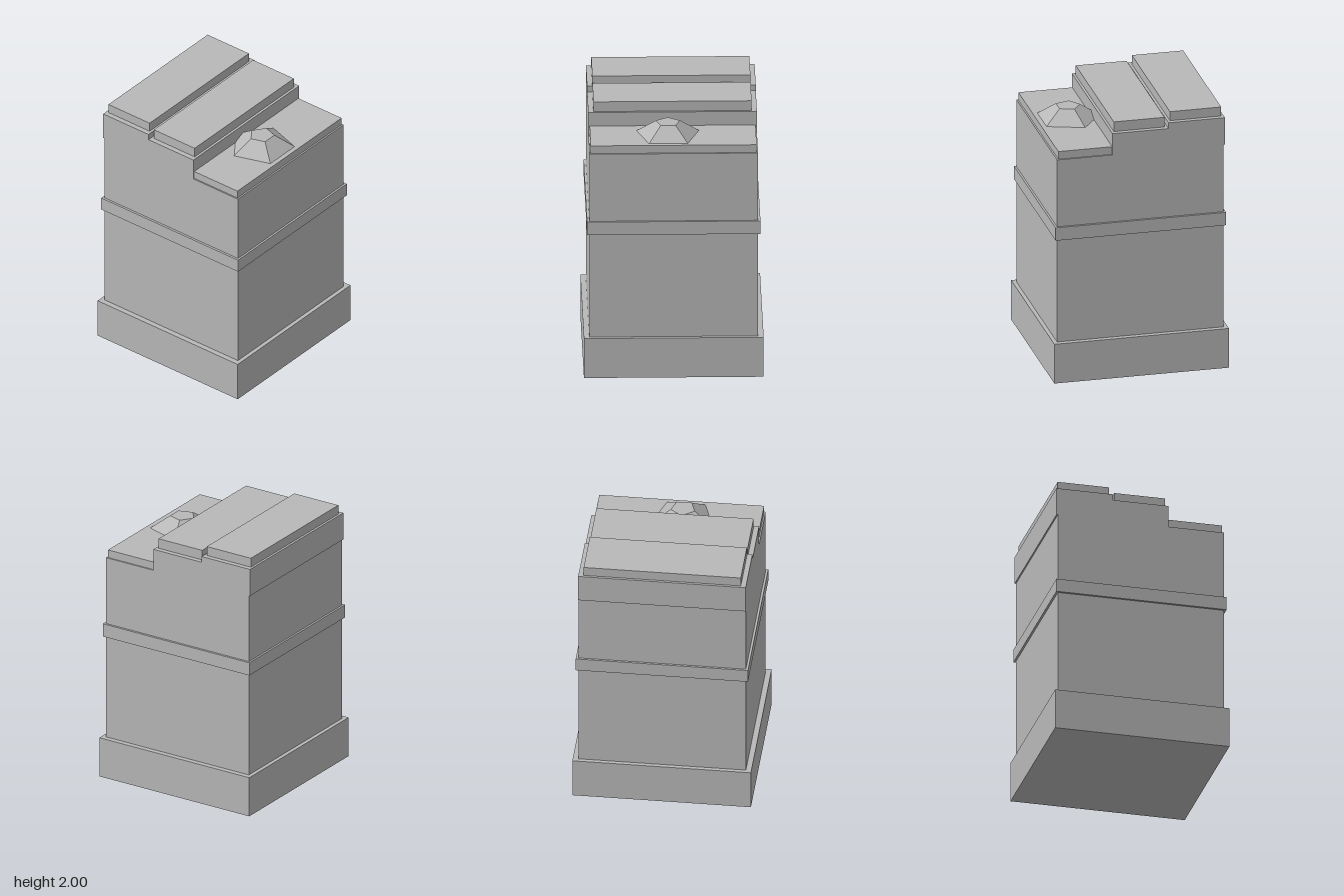
import * as THREE from 'three';

export function createModel() {
  const group = new THREE.Group();
  const stone = new THREE.MeshStandardMaterial({ color: 0xb8b8b8 });
  stone.name = 'light grey';
  stone.flatShading = true;

  // Box given by its extents in x and y, and its half depth
  const block = (name, x0, x1, y0, y1, halfZ) => {
    const mesh = new THREE.Mesh(new THREE.BoxGeometry(x1 - x0, y1 - y0, halfZ * 2), stone);
    mesh.position.set((x0 + x1) / 2, (y0 + y1) / 2, 0);
    mesh.name = name;
    group.add(mesh);
  };

  // Tower
  block('basePlinth', -0.65, 0.65, 0, 0.305, 0.65);
  block('mainBody', -0.62, 0.62, 0.305, 1.72, 0.61);
  block('middleBand', -0.635, 0.635, 1.1, 1.2, 0.627);

  // Stepped roof with raised slabs
  block('tallRoofStep', -0.63, -0.21, 1.72, 1.93, 0.61);
  block('middleRoofStep', -0.21, 0.207, 1.72, 1.885, 0.61);
  block('tallRoofSlab', -0.612, -0.23, 1.93, 2, 0.572);
  block('middleRoofSlab', -0.19, 0.188, 1.885, 1.96, 0.572);
  block('lowRoofSlab', 0.207, 0.608, 1.72, 1.78, 0.6);

  // Five-sided skylight, its corner set into the middle step
  const skylight = new THREE.Mesh(
    new THREE.CylinderGeometry(0.092, 0.238, 0.095, 5, 1, false, -Math.PI / 2), stone);
  skylight.position.set(0.38, 1.8275, 0.037);
  skylight.name = 'skylight';
  group.add(skylight);

  return group;
}
